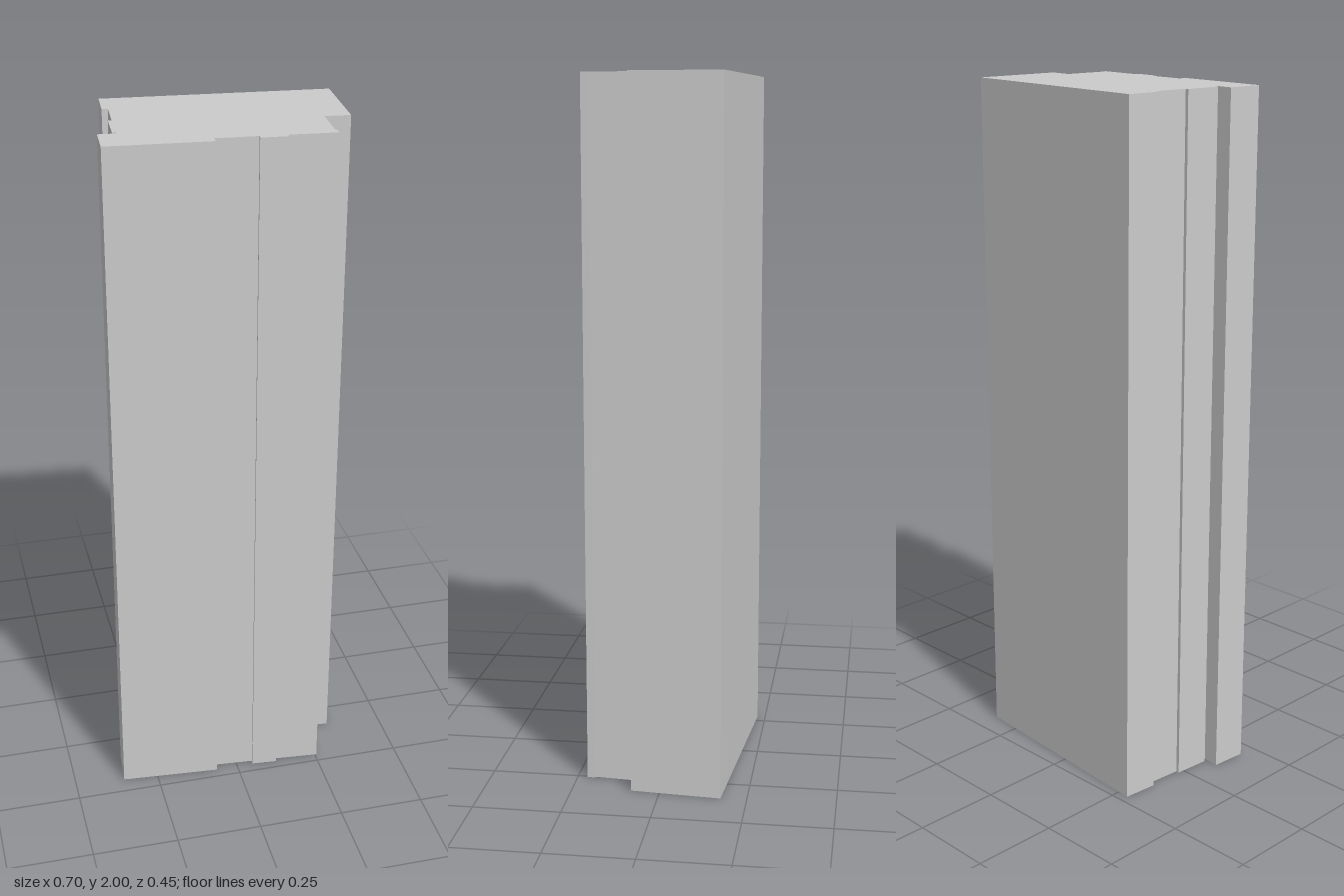
import * as THREE from 'three';

export function createModel() {
  const group = new THREE.Group();
  group.name = 'towerBlock';

  // Footprint corners as [x, z], from the back right corner around the plan
  const footprint = [
    // back wall
    [-0.286, -0.226], [0.351, -0.176],
    // left side with its corner recess
    [0.332, 0.082], [0.261, 0.076], [0.252, 0.198], [0.257, 0.199],
    // front with shallow bays
    [0.255, 0.222], [0.124, 0.211], [0.123, 0.224], [0.049, 0.218],
    [0.051, 0.205], [-0.064, 0.196], [-0.066, 0.22], [-0.353, 0.198],
    // right side with notches
    [-0.345, 0.094], [-0.296, 0.098], [-0.295, 0.087], [-0.305, 0.086],
    [-0.297, -0.019], [-0.287, -0.018], [-0.278, -0.124], [-0.295, -0.125],
  ];
  const shape = new THREE.Shape(footprint.map(([x, z]) => new THREE.Vector2(x, -z)));

  // Straight extrusion, stood upright
  const geometry = new THREE.ExtrudeGeometry(shape, { depth: 2, bevelEnabled: false });
  geometry.rotateX(-Math.PI / 2);

  const tower = new THREE.Mesh(
    geometry,
    new THREE.MeshStandardMaterial({ color: 0xcccccc, flatShading: true }),
  );
  tower.name = 'towerWalls';
  group.add(tower);
  return group;
}
